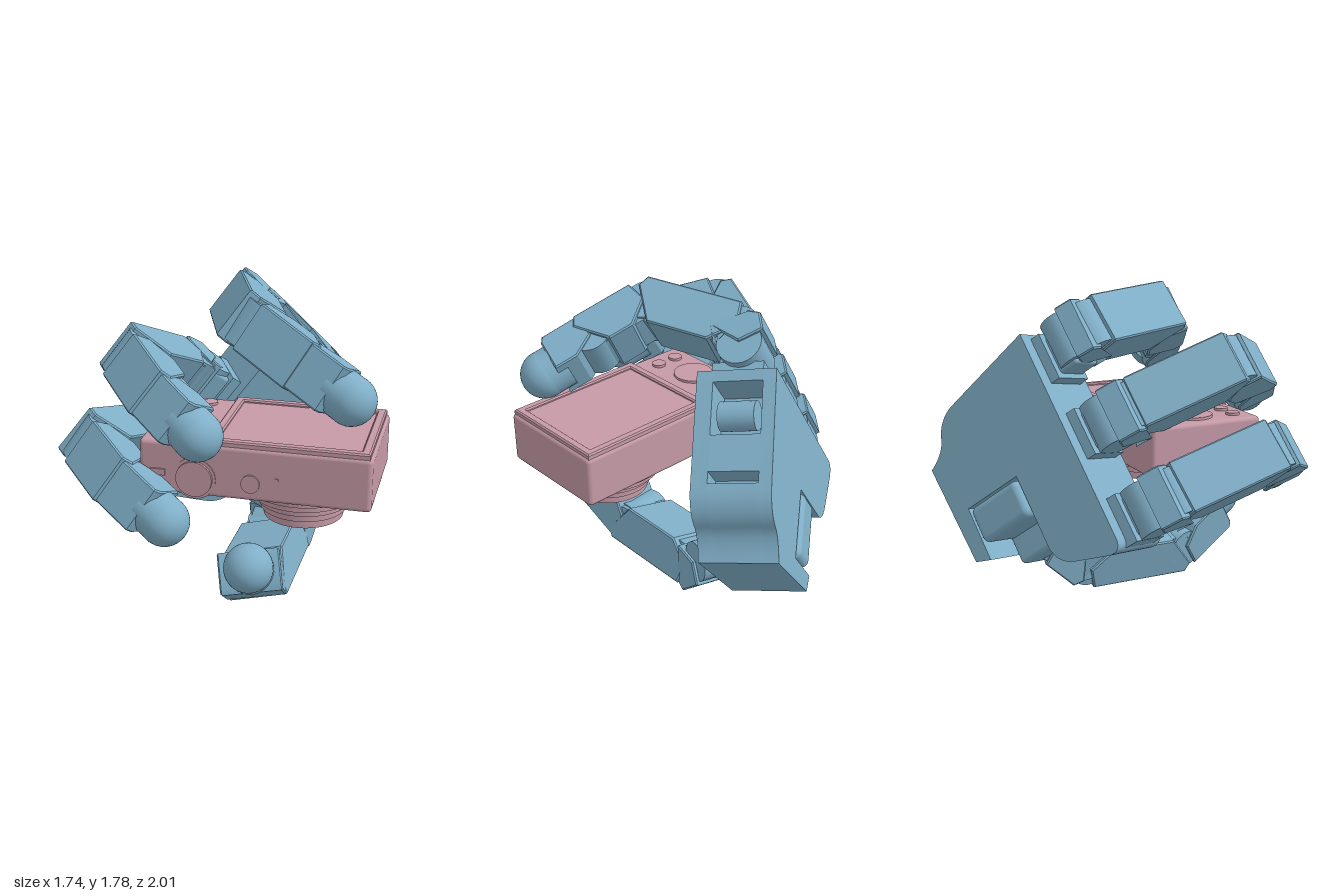
import * as THREE from 'three';
import { RoundedBoxGeometry } from 'three/addons/geometries/RoundedBoxGeometry.js';
import { toCreasedNormals } from 'three/addons/utils/BufferGeometryUtils.js';

const V = (x, y, z) => new THREE.Vector3(x, y, z);

// Palm frame: K runs along the knuckles, S towards the wrist, W out of the palm
const K = V(0.587, 0.788, -0.186).normalize();
const S = K.clone().cross(V(0.485, -0.153, 0.861)).normalize();
const W = S.clone().cross(K);
const CORNER = V(0.08, 1.54, -0.6);
const palmPoint = (k, f, w) =>
  CORNER.clone().addScaledVector(K, k).addScaledVector(S, -f).addScaledVector(W, w);

const polygon = (pts) => new THREE.Shape(pts.map(([x, y]) => new THREE.Vector2(x, y)));

function extrude(shape, depth, bevel = 0) {
  const g = new THREE.ExtrudeGeometry(shape, {
    depth: depth - 2 * bevel, curveSegments: 10, bevelEnabled: bevel > 0,
    bevelSize: bevel, bevelThickness: bevel, bevelOffset: -bevel, bevelSegments: 1,
  });
  g.translate(0, 0, bevel);
  return toCreasedNormals(g, 0.5);
}

export function createModel() {
  const model = new THREE.Group();
  const blue = new THREE.MeshStandardMaterial({ color: 0x80afc8 });
  const pink = new THREE.MeshStandardMaterial({ color: 0xc59aa7 });

  function add(parent, name, geometry, material, x = 0, y = 0, z = 0) {
    const m = new THREE.Mesh(geometry, material);
    m.name = name;
    m.position.set(x, y, z);
    parent.add(m);
    return m;
  }

  // Group whose x is the bone direction, y the inner (gripping) side, z the hinge axis
  function boneFrame(parent, name, from, to, axis) {
    const dir = to.clone().sub(from).normalize();
    const inner = axis.clone().cross(dir).normalize();
    const g = new THREE.Group();
    g.name = name;
    g.quaternion.setFromRotationMatrix(
      new THREE.Matrix4().makeBasis(dir, inner, dir.clone().cross(inner)));
    g.position.copy(from);
    parent.add(g);
    return g;
  }

  function hinge(parent, radius, width) {
    add(parent, 'hingeBarrel', new THREE.CylinderGeometry(radius, radius, width, 28), blue)
      .rotation.x = Math.PI / 2;
  }

  // One finger bone: hinge, narrower core and angular outer shell
  function phalanx(parent, from, to, axis, width, thick) {
    const g = boneFrame(parent, 'phalanx', from, to, axis);
    const L = from.distanceTo(to), h = thick / 2;
    hinge(g, h * 0.88, width * 0.88);
    const core = new THREE.Shape();
    core.absarc(0, 0, h * 0.8, Math.PI / 2, Math.PI * 1.5);
    core.absarc(L, 0, h * 0.8, -Math.PI / 2, Math.PI / 2);
    add(g, 'core', extrude(core, width * 0.78), blue, 0, 0, -width * 0.39);
    const shell = polygon([[0.03, -h], [L + 0.03, -h], [L + 0.06, -h * 0.55],
      [L - 0.08, h * 0.9], [0.13, h * 0.9], [0.0, 0]]);
    add(g, 'shell', extrude(shell, width, 0.008), blue, 0, 0, -width / 2);
  }

  // Last bone, ending in a round fingertip
  function tipBone(parent, from, to, axis, width, thick) {
    const g = boneFrame(parent, 'tipBone', from, to, axis);
    const L = from.distanceTo(to), h = thick / 2;
    hinge(g, h * 0.92, width * 0.9);
    const body = polygon([[0, -h], [L - 0.09, -h], [L - 0.07, -h * 0.7],
      [L - 0.07, h * 0.8], [0.12, h * 0.8], [0, h * 0.2]]);
    add(g, 'tipBody', extrude(body, width, 0.008), blue, 0, 0, -width / 2);
    add(g, 'tipCollar', new THREE.CylinderGeometry(0.132, 0.132, 0.13, 32), blue, L - 0.065, 0, 0)
      .rotation.z = Math.PI / 2;
    add(g, 'fingertip', new THREE.SphereGeometry(0.133, 32, 20), blue, L, 0, 0);
  }

  function digit(name, joints, axis, width, thick) {
    const g = new THREE.Group();
    g.name = name;
    model.add(g);
    const last = joints.length - 2;
    joints.slice(0, -1).forEach((p, i) =>
      (i === last ? tipBone : phalanx)(g, p, joints[i + 1], axis,
        width - 0.015 * i, thick - 0.008 * i));
  }

  // Palm: two cover plates around a core with side pockets, all notched for the thumb
  const palm = new THREE.Group();
  palm.name = 'palm';
  palm.position.copy(CORNER);
  palm.quaternion.setFromRotationMatrix(new THREE.Matrix4().makeBasis(S, K, W));
  palm.rotateY(0.05);
  model.add(palm);

  function palmShape(pockets) {
    const s = new THREE.Shape();
    s.moveTo(0, 0);
    s.lineTo(0, -1.24);
    s.quadraticCurveTo(0, -1.32, 0.08, -1.305);
    s.lineTo(0.28, -1.24);
    s.quadraticCurveTo(0.41, -1.2, 0.41, -1.08);
    s.lineTo(0.41, -0.66);
    s.lineTo(0.8, -0.66);
    s.lineTo(0.8, -0.98);
    s.lineTo(0.9, -0.945);
    s.lineTo(0.93, -0.345);
    s.quadraticCurveTo(0.81, -0.3, 0.78, -0.23);
    s.quadraticCurveTo(0.74, -0.13, 0.63, -0.1);
    if (pockets)
      [[0.59, -0.094], [0.59, -0.22], [0.53, -0.22], [0.53, -0.084],
        [0.34, -0.054], [0.34, -0.22], [0.06, -0.22], [0.06, -0.01]].forEach(([x, y]) => s.lineTo(x, y));
    s.closePath();
    return s;
  }
  add(palm, 'backPlate', extrude(palmShape(false), 0.07), blue);
  add(palm, 'palmCore', extrude(palmShape(true), 0.27), blue, 0, 0, 0.07);
  add(palm, 'frontPlate', extrude(palmShape(false), 0.09), blue, 0, 0, 0.34);
  add(palm, 'pocketBarrel', new THREE.CylinderGeometry(0.08, 0.08, 0.2, 24), blue, 0.2, -0.14, 0.22)
    .rotation.x = Math.PI / 2;
  // Thumb mount and base seated in the notch
  add(palm, 'thumbMount', new RoundedBoxGeometry(0.37, 0.22, 0.4, 3, 0.04), blue, 0.605, -0.78, 0.18);
  add(palm, 'thumbBase', new RoundedBoxGeometry(0.36, 0.3, 0.36, 3, 0.03), blue, 0.605, -0.9, 0.4);

  // Fingers: k position of root and tip, then bend points as [forward, out of palm]
  const fingers = [
    ['upperFinger', -0.12, -0.02, [[0.24, 0.25], [0.39, 0.8], [0.175, 1.075], [-0.03, 1.325]]],
    ['middleFinger', -0.64, -0.633, [[0.26, 0.26], [0.73, 0.61], [0.64, 0.95], [0.466, 1.207]]],
    ['lowerFinger', -1.16, -1.1, [[0.26, 0.26], [0.65, 0.7], [0.54, 1.02], [0.34, 1.277]]],
  ];
  for (const [name, k0, k1, bends] of fingers) {
    const root = Math.min(k0, -0.17);
    add(palm, 'knuckleBlock', new RoundedBoxGeometry(0.2, 0.22, 0.22, 2, 0.02), blue, -0.08, root, 0.23);
    add(palm, 'knuckleYoke', new THREE.BoxGeometry(0.08, 0.28, 0.28), blue, -0.02, root, 0.22);
    const joints = bends.map(([f, w], i) => palmPoint(k0 + (k1 - k0) * i / 3, f, w));
    digit(name, [palmPoint(k0, 0.14, 0.22), ...joints], K, 0.315, 0.28);
  }

  // Thumb
  const thumbAxis = V(-0.965, -0.26, 0).normalize();
  digit('thumb', [V(0.24, 0.31, -0.36), V(0.205, 0.165, -0.2), V(0.2, 0.17, 0.41), V(0.25, 0.4, 0.755)],
    thumbAxis, 0.365, 0.265);

  // Held camera: body, lying with its lens down
  const camera = new THREE.Group();
  camera.name = 'camera';
  model.add(camera);
  add(camera, 'cameraBody', new RoundedBoxGeometry(1.23, 0.295, 0.69, 3, 0.025), pink, 0.255, 0.8975, 0.335);

  // Screen panel with raised rim
  const rim = polygon([[0, -0.67], [0.85, -0.67], [0.85, 0], [0, 0]]);
  rim.holes.push(new THREE.Path([[0.05, -0.62], [0.05, -0.05], [0.8, -0.05], [0.8, -0.62]]
    .map(([x, y]) => new THREE.Vector2(x, y))));
  add(camera, 'screenRim', extrude(rim, 0.05, 0.008), pink, 0.005, 1.02, 0).rotation.x = -Math.PI / 2;
  add(camera, 'screen', new THREE.BoxGeometry(0.76, 0.03, 0.59), pink, 0.43, 1.04, 0.335);

  // Round controls: x, z, radius on the screen side
  for (const [x, z, r] of [[-0.19, 0.33, 0.115], [-0.23, 0.12, 0.04], [-0.13, 0.085, 0.04], [-0.12, 0.56, 0.04], [-0.25, 0.56, 0.04]])
    add(camera, 'backButton', new THREE.CylinderGeometry(r, r, 0.03, 32), pink, x, 1.045, z);
  // Controls on the upright edge
  for (const [x, r, d] of [[-0.06, 0.115, 0.03], [-0.06, 0.098, 0.06], [0.24, 0.05, 0.04]])
    add(camera, 'edgeDial', new THREE.CylinderGeometry(r, r, d, 32), pink, x, 0.85, 0.67)
      .rotation.x = Math.PI / 2;
  add(camera, 'edgeSlot', new THREE.BoxGeometry(0.016, 0.045, 0.02), pink, 0.38, 0.87, 0.675);
  add(camera, 'edgeSwitch', new THREE.BoxGeometry(0.08, 0.035, 0.03), pink, -0.26, 0.87, 0.675);
  add(camera, 'frontStrip', new THREE.BoxGeometry(0.12, 0.03, 0.5), pink, 0.76, 0.755, 0.335);

  // Stepped lens barrel with a recessed face
  const lens = [[0, 0.585], [0.15, 0.585], [0.17, 0.565], [0.218, 0.565], [0.218, 0.61], [0.235, 0.61],
    [0.235, 0.65], [0.255, 0.65], [0.255, 0.69], [0.29, 0.69], [0.29, 0.725], [0.31, 0.725], [0.31, 0.77]];
  add(camera, 'lensBarrel', toCreasedNormals(new THREE.LatheGeometry(
    lens.map(([r, y]) => new THREE.Vector2(r, y)), 48), 0.5), pink, 0.46, 0, 0.34);
  const shutter = polygon([[-0.08, -0.05], [0.08, -0.05], [0.08, 0.05], [-0.08, 0.05]]);
  shutter.holes.push(new THREE.Path().absarc(0, 0, 0.035, 0, Math.PI * 2, true));
  add(camera, 'lensShutter', extrude(shutter, 0.02), pink, 0.46, 0.572, 0.34).rotation.x = -Math.PI / 2;

  return model;
}
